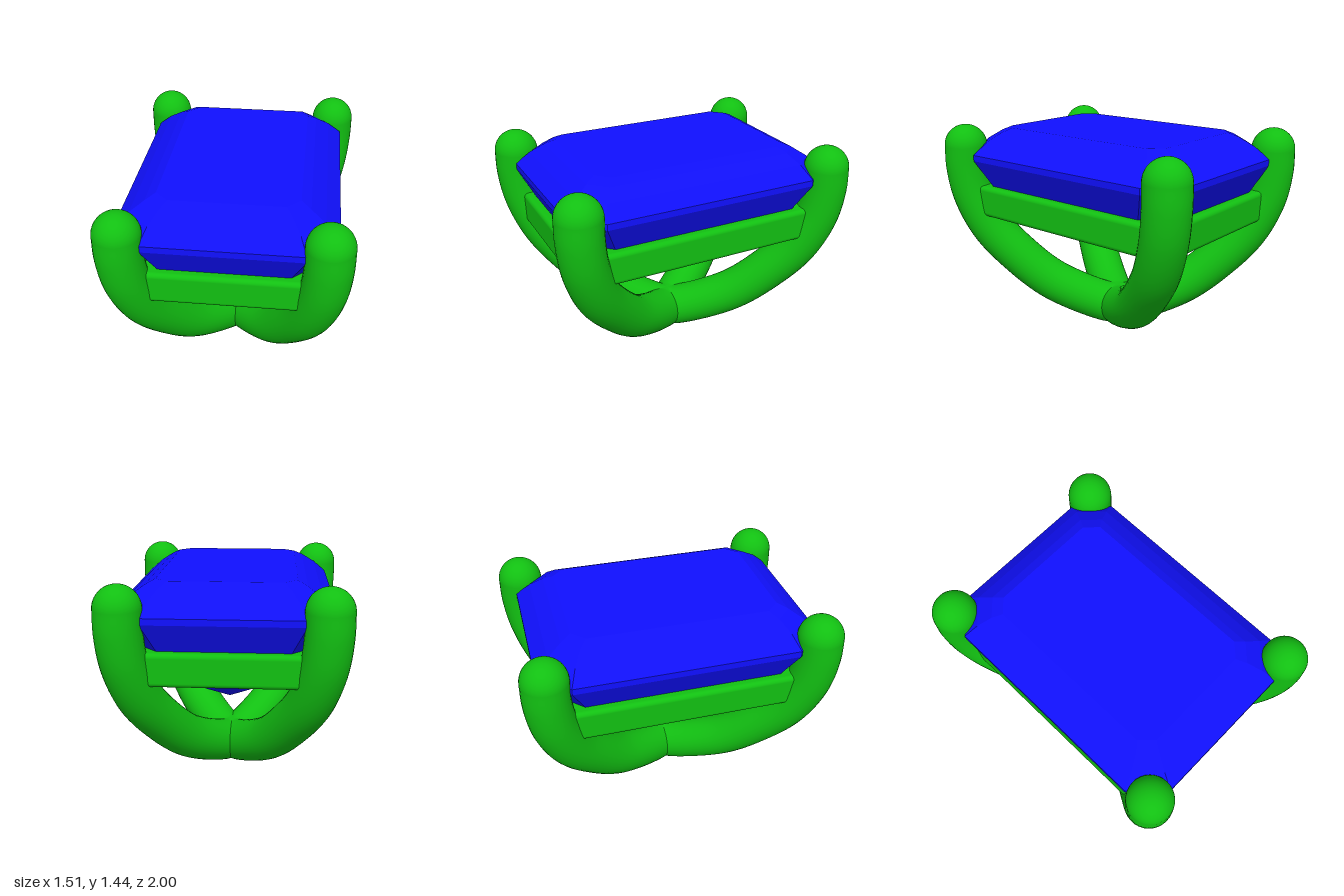
import * as THREE from 'three';
import { RoundedBoxGeometry } from 'three/addons/geometries/RoundedBoxGeometry.js';
import { ConvexGeometry } from 'three/addons/geometries/ConvexGeometry.js';

const PRONG_X = 0.61, PRONG_Z = 0.855, R = 0.145;

export function createModel() {
  const model = new THREE.Group();
  model.name = 'gemSetting';
  const green = new THREE.MeshStandardMaterial({ color: 0x12c012 });
  const blue = new THREE.MeshStandardMaterial({ color: 0x1010ff, flatShading: true });

  const add = (name, geometry, material, parent = model) => {
    const mesh = new THREE.Mesh(geometry, material);
    mesh.name = name;
    parent.add(mesh);
    return mesh;
  };

  // Prong path: fraction of the way out to the corner, height
  const path = [[0, 0.147], [0.08, 0.155], [0.44, 0.31], [0.69, 0.52],
    [0.86, 0.72], [0.965, 0.95], [1, 1.15], [1, 1.295]];
  const ball = new THREE.SphereGeometry(R, 32, 24);

  // Four curved prongs with rounded tips
  for (const sx of [-1, 1]) for (const sz of [-1, 1]) {
    const prong = new THREE.Group();
    prong.name = (sz > 0 ? 'front' : 'back') + (sx > 0 ? 'Left' : 'Right') + 'Prong';
    const curve = new THREE.CatmullRomCurve3(
      path.map(([f, y]) => new THREE.Vector3(f * PRONG_X * sx, y, f * PRONG_Z * sz)));
    add('prongStem', new THREE.TubeGeometry(curve, 64, R, 32), green, prong);
    add('prongTip', ball, green, prong).position.set(PRONG_X * sx, 1.295, PRONG_Z * sz);
    model.add(prong);
  }
  add('prongJoint', ball, green).position.y = R;

  // Rails joining the prongs into a rectangular gallery
  for (const s of [-1, 1]) {
    add(s > 0 ? 'frontRail' : 'backRail', new RoundedBoxGeometry(1.16, 0.21, 0.16, 4, 0.03), green)
      .position.set(0, 0.925, 0.79 * s);
    add(s > 0 ? 'leftRail' : 'rightRail', new RoundedBoxGeometry(0.16, 0.21, 1.64, 4, 0.03), green)
      .position.set(0.56 * s, 0.925, 0);
  }

  // Step-cut gem: half width, half depth, corner cut and height of each tier
  const tiers = [
    [0.43, 0.655, 0.08, 1.42], [0.49, 0.72, 0.10, 1.39], [0.58, 0.81, 0.14, 1.33],
    [0.67, 0.90, 0.19, 1.25], [0.67, 0.90, 0.19, 1.21], [0.58, 0.81, 0.18, 1.03],
    [0.40, 0.64, 0.12, 0.82], [0.20, 0.44, 0.06, 0.67]];
  const points = [new THREE.Vector3(0, 0.555, 0.24), new THREE.Vector3(0, 0.555, -0.24)];
  for (const [w, d, c, y] of tiers)
    for (const sx of [-1, 1]) for (const sz of [-1, 1])
      points.push(new THREE.Vector3(sx * w, y, sz * (d - c)), new THREE.Vector3(sx * (w - c), y, sz * d));
  add('gem', new ConvexGeometry(points), blue);

  return model;
}
